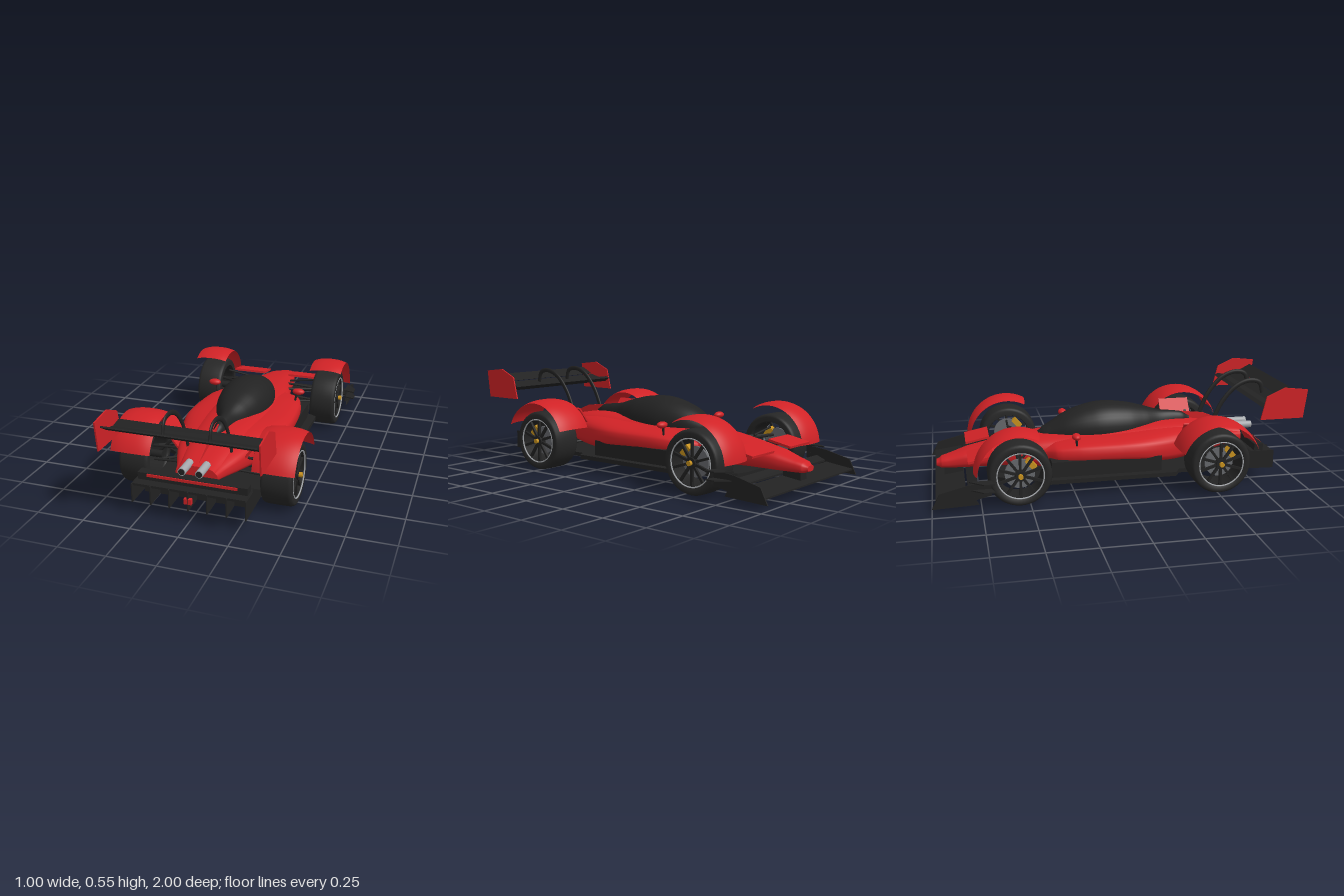
import * as THREE from 'three';

const mat = (name, color, side = THREE.FrontSide) => {
  const m = new THREE.MeshStandardMaterial({ color, side });
  m.name = name;
  return m;
};

export function createModel() {
  const red = mat('red paint', 0xd02226, THREE.DoubleSide);
  const black = mat('carbon black', 0x222222, THREE.DoubleSide);
  const rubber = mat('tyre rubber', 0x262626);
  const grey = mat('disc grey', 0x66686c);
  const silver = mat('silver', 0xa5a8ac);
  const gold = mat('gold', 0xc8921e);

  const car = new THREE.Group();
  car.name = 'raceCar';
  const add = (parent, name, geo, material, x = 0, y = 0, z = 0) => {
    const m = new THREE.Mesh(geo, material);
    m.name = name;
    m.position.set(x, y, z);
    parent.add(m);
    return m;
  };
  const shapeOf = pts => new THREE.Shape(pts.map(p => new THREE.Vector2(p[0], p[1])));

  // Plate with a [z, y] outline, centred on x and t thick
  const sidePlate = (pts, x, t) =>
    new THREE.ExtrudeGeometry(shapeOf(pts), { depth: t, bevelEnabled: false })
      .rotateY(-Math.PI / 2).translate(x + t / 2, 0, 0);
  // Plate with an [x, z] outline, from y up to y + t
  const slab = (pts, y, t) =>
    new THREE.ExtrudeGeometry(shapeOf(pts.map(p => [p[0], -p[1]])), { depth: t, bevelEnabled: false })
      .rotateX(-Math.PI / 2).translate(0, y, 0);
  const box = (w, h, d) => new THREE.BoxGeometry(w, h, d);
  const discX = (r, w, n = 32) => new THREE.CylinderGeometry(r, r, w, n).rotateZ(-Math.PI / 2);
  const rod = (parent, name, a, b, r, material) => {
    const p = new THREE.Vector3(...a), d = new THREE.Vector3(...b).sub(p);
    const m = add(parent, name, new THREE.CylinderGeometry(r, r, d.length(), 8), material);
    m.position.copy(p).addScaledVector(d, 0.5);
    m.quaternion.setFromUnitVectors(new THREE.Vector3(0, 1, 0), d.normalize());
  };

  // Smooth loft through stations [z, halfWidth, bottom, top, centreX]
  const loft = (st, power, steps = 5, n = 36) => {
    const rings = [];
    for (let i = 0; i < st.length - 1; i++) for (let k = 0; k < steps + (i === st.length - 2 ? 1 : 0); k++) {
      const t = k / steps, at = j => st[Math.max(0, Math.min(st.length - 1, j))];
      rings.push(st[i].map((_, c) => {
        const a = at(i - 1)[c], b = at(i)[c], d = at(i + 1)[c], e = at(i + 2)[c];
        return c === 0 ? b + (d - b) * t
          : b + 0.5 * t * (d - a + t * (2 * a - 5 * b + 4 * d - e + t * (3 * (b - d) + e - a)));
      }));
    }
    const pos = [], idx = [];
    const ringVerts = ([z, w, lo, hi, cx = 0]) => {
      for (let j = 0; j < n; j++) {
        const a = (j / n) * Math.PI * 2, c = Math.cos(a), s = Math.sin(a);
        pos.push(cx + w * Math.sign(c) * Math.abs(c) ** power,
          (lo + hi) / 2 + (hi - lo) / 2 * Math.sign(s) * Math.abs(s) ** power, z);
      }
    };
    rings.forEach(ringVerts);
    for (let i = 0; i < rings.length - 1; i++) for (let j = 0; j < n; j++) {
      const a = i * n + j, b = i * n + (j + 1) % n;
      idx.push(a, b, b + n, a, b + n, a + n);
    }
    [rings[0], rings[rings.length - 1]].forEach((r, end) => {
      const s = pos.length / 3;
      ringVerts(r);
      pos.push(r[4] || 0, (r[2] + r[3]) / 2, r[0]);
      for (let j = 0; j < n; j++) {
        const k = s + (j + 1) % n;
        idx.push(s + n, end ? s + j : k, end ? k : s + j);
      }
    });
    const g = new THREE.BufferGeometry();
    g.setAttribute('position', new THREE.Float32BufferAttribute(pos, 3));
    g.setIndex(idx);
    g.computeVertexNormals();
    return g;
  };

  // Nose, cockpit body and tail
  add(car, 'body', loft([
    [-0.97, 0.03, 0.11, 0.14], [-0.94, 0.052, 0.1, 0.158], [-0.8, 0.088, 0.1, 0.2], [-0.6, 0.118, 0.1, 0.24],
    [-0.4, 0.165, 0.09, 0.268], [-0.1, 0.2, 0.09, 0.29], [0.2, 0.19, 0.09, 0.305], [0.4, 0.165, 0.1, 0.305],
    [0.55, 0.14, 0.13, 0.285], [0.745, 0.1, 0.17, 0.25]], 0.72), red);
  // Broad side pods that taper to the tail
  add(car, 'sidePods', loft([
    [-0.4, 0.17, 0.15, 0.225], [-0.33, 0.243, 0.14, 0.25], [-0.2, 0.283, 0.14, 0.268], [0, 0.3, 0.14, 0.276],
    [0.13, 0.298, 0.13, 0.282], [0.25, 0.272, 0.11, 0.288], [0.38, 0.228, 0.11, 0.288],
    [0.55, 0.18, 0.14, 0.27], [0.745, 0.11, 0.17, 0.235]], 0.62), red);
  add(car, 'canopy', loft([
    [-0.43, 0.012, 0.23, 0.262], [-0.38, 0.055, 0.2, 0.298], [-0.25, 0.112, 0.16, 0.372], [-0.12, 0.142, 0.15, 0.413],
    [-0.02, 0.146, 0.15, 0.422], [0.1, 0.128, 0.16, 0.408], [0.2, 0.092, 0.18, 0.382], [0.28, 0.056, 0.2, 0.358],
    [0.36, 0.038, 0.22, 0.348], [0.42, 0.03, 0.24, 0.338], [0.465, 0.012, 0.26, 0.312]], 0.95), black);
  add(car, 'tailFin', sidePlate([[0.4, 0.26], [0.74, 0.22], [0.73, 0.25], [0.55, 0.325], [0.42, 0.34]], 0, 0.006), red);

  // Flat floor and lower side panels
  const half = [[0.14, -0.69], [0.2, -0.67], [0.25, -0.6], [0.27, -0.42], [0.33, -0.39], [0.33, 0.3], [0.28, 0.33], [0.28, 0.75]];
  add(car, 'floor', slab([...half, ...half.map(p => [-p[0], p[1]]).reverse()], 0.07, 0.022), black);
  add(car, 'lowerSides', box(0.57, 0.09, 0.6), black, 0, 0.13, -0.07);

  // Diffuser with upright fins
  add(car, 'diffuserRamp', sidePlate([[0.6, 0.08], [0.86, 0.158], [0.86, 0.17], [0.74, 0.17], [0.6, 0.095]], 0, 0.58), black);
  for (let i = -3; i <= 3; i++)
    add(car, 'diffuserFin', sidePlate([[0.6, 0.075], [0.87, 0.068], [0.87, 0.17], [0.76, 0.17]], i * 0.098, 0.006), black);
  add(car, 'rearCrossbar', box(0.57, 0.038, 0.05), black, 0, 0.188, 0.785);
  add(car, 'rearLightBar', box(0.47, 0.014, 0.006), red, 0, 0.198, 0.813);
  for (const x of [-0.011, 0.011]) add(car, 'rainLight', box(0.018, 0.028, 0.02), red, x, 0.12, 0.862);

  // Front wing
  add(car, 'frontWingMain', sidePlate([[-0.98, 0.048], [-0.9, 0.046], [-0.825, 0.07], [-0.825, 0.076], [-0.9, 0.066], [-0.98, 0.056]], 0, 0.88), black);
  add(car, 'frontWingFlap', sidePlate([[-0.815, 0.075], [-0.765, 0.1], [-0.765, 0.106], [-0.815, 0.085]], 0, 0.88), black);
  add(car, 'frontWingPylon', box(0.06, 0.06, 0.1), black, 0, 0.085, -0.88);

  // Rear wing
  add(car, 'rearWingMain', sidePlate([[0.745, 0.45], [0.78, 0.428], [0.84, 0.428], [0.905, 0.46], [0.9, 0.467], [0.83, 0.45], [0.77, 0.46]], 0, 0.785), black);
  add(car, 'rearWingFlap', sidePlate([[0.895, 0.472], [0.92, 0.468], [0.978, 0.505], [0.972, 0.511], [0.92, 0.485]], 0, 0.765), black);

  // Arched fender shell around a wheel centre
  const fender = (x0, x1, a0, a1, cz) => {
    const g = new THREE.PlaneGeometry(1, 1, 10, 32), p = g.attributes.position;
    for (let i = 0; i < p.count; i++) {
      const u = p.getX(i) + 0.5, a = THREE.MathUtils.degToRad(a0 + (a1 - a0) * (p.getY(i) + 0.5));
      const r = 0.231 - 0.016 * Math.abs(2 * u - 1) ** 2.5;
      p.setXYZ(i, x0 + (x1 - x0) * u, 0.165 + r * Math.sin(a), cz + r * Math.cos(a));
    }
    g.computeVertexNormals();
    return g;
  };

  // Wheel turning about x, outer face towards +x
  const makeWheel = w => {
    const g = new THREE.Group(), h = w / 2;
    const prof = [[0.124, -h], [0.148, -h], [0.158, -h + 0.004], [0.164, -h + 0.018], [0.165, 0],
      [0.164, h - 0.018], [0.158, h - 0.004], [0.148, h], [0.124, h], [0.12, h - 0.012], [0.12, 0.012 - h], [0.124, -h]];
    add(g, 'tyre', new THREE.LatheGeometry(prof.map(p => new THREE.Vector2(...p)), 48).rotateZ(-Math.PI / 2), rubber);
    add(g, 'rimBarrel', new THREE.CylinderGeometry(0.119, 0.119, w - 0.02, 40, 1, true).rotateZ(-Math.PI / 2), black);
    add(g, 'rimRing', new THREE.TorusGeometry(0.121, 0.004, 6, 48).rotateY(Math.PI / 2), silver, h - 0.002);
    for (let i = 0; i < 10; i++)
      add(g, 'spoke', box(0.014, 0.095, 0.013).translate(0, 0.071, 0), black, h - 0.016).rotation.x = i * Math.PI / 5;
    add(g, 'hub', discX(0.028, 0.03, 20), black, h - 0.016);
    add(g, 'hubNut', discX(0.013, 0.025, 12), gold, h + 0.003);
    add(g, 'brakeDisc', discX(0.078, 0.012), grey, h - 0.05);
    add(g, 'axle', discX(0.02, w, 12), black, -0.02);
    const cal = add(g, 'brakeCaliper', box(0.034, 0.03, 0.06).translate(0, 0.077, 0), gold, h - 0.047);
    cal.rotation.x = 0.85;
    return g;
  };

  for (const s of [1, -1]) {
    const side = new THREE.Group();
    side.name = s > 0 ? 'leftSide' : 'rightSide';
    side.scale.x = s;
    car.add(side);

    [['rearWheel', 0.16, 0.38, 0.51], ['frontWheel', 0.145, 0.36, -0.55]].forEach(([name, w, x, z]) => {
      const wheel = makeWheel(w);
      wheel.name = name;
      wheel.position.set(x, 0.165, z);
      side.add(wheel);
    });
    add(side, 'rearFender', fender(0.268, 0.485, 22, 160, 0.505), red);
    add(side, 'frontFender', fender(0.268, 0.458, 62, 176, -0.555), red);
    add(side, 'frontFenderLink', box(0.2, 0.012, 0.135), red, 0.178, 0.213, -0.74).rotation.x = -0.2;
    add(side, 'rearFenderLink', box(0.15, 0.01, 0.18), red, 0.228, 0.285, 0.445).rotation.z = 0.9;

    // Suspension arms
    for (const [z, dz] of [[0.51, -0.1], [-0.55, 0.1]]) for (const y of [0.13, 0.21]) for (const k of [0, 1])
      rod(side, 'suspensionArm', [0.11, y + 0.01, z + (k ? dz : 0)], [0.33, y, z], 0.007, black);
    rod(side, 'rearPushRod', [0.19, 0.29, 0.5], [0.31, 0.17, 0.5], 0.007, black);
    rod(side, 'frontFenderStay', [0.12, 0.235, -0.56], [0.28, 0.26, -0.56], 0.006, black);

    // Mirror pod on its stalk
    add(side, 'mirror', new THREE.SphereGeometry(1, 20, 12).scale(0.036, 0.018, 0.024), red, 0.258, 0.303, -0.233);
    rod(side, 'mirrorStalk', [0.235, 0.22, -0.225], [0.25, 0.3, -0.233], 0.006, black);

    // Exhaust pipe
    add(side, 'exhaust', new THREE.CylinderGeometry(0.02, 0.02, 0.11, 20).rotateX(Math.PI / 2), silver, 0.045, 0.252, 0.77);
    add(side, 'exhaustBore', new THREE.CylinderGeometry(0.016, 0.016, 0.004, 20).rotateX(Math.PI / 2), black, 0.045, 0.252, 0.825);

    // Front wing end plate and canards
    add(side, 'frontEndPlate', sidePlate([[-0.765, 0.035], [-0.82, 0.14], [-0.96, 0.105], [-1, 0.025]], 0.444, 0.008), black);
    for (const y of [0.11, 0.152])
      add(side, 'canard', slab([[0.44, -0.81], [0.5, -0.74], [0.5, -0.685], [0.44, -0.7]], y, 0.006), black);
    add(side, 'canardSupport', sidePlate([[-0.82, 0.05], [-0.7, 0.08], [-0.7, 0.155], [-0.82, 0.14]], 0.444, 0.006), black);

    // Rear wing end plate and swan-neck strut
    add(side, 'rearEndPlate', sidePlate([[0.74, 0.38], [0.98, 0.38], [1, 0.535], [0.87, 0.55], [0.77, 0.505]], 0.4, 0.008), red);
    const neck = new THREE.CatmullRomCurve3([[0.24, 0.55], [0.32, 0.575], [0.42, 0.625], [0.5, 0.7], [0.53, 0.78], [0.515, 0.84], [0.455, 0.86]]
      .map(([y, z]) => new THREE.Vector3(0, y, z)));
    add(side, 'wingStrut', new THREE.TubeGeometry(neck, 36, 0.013, 10).scale(0.5, 1, 1), black, 0.118);
  }
  return car;
}
